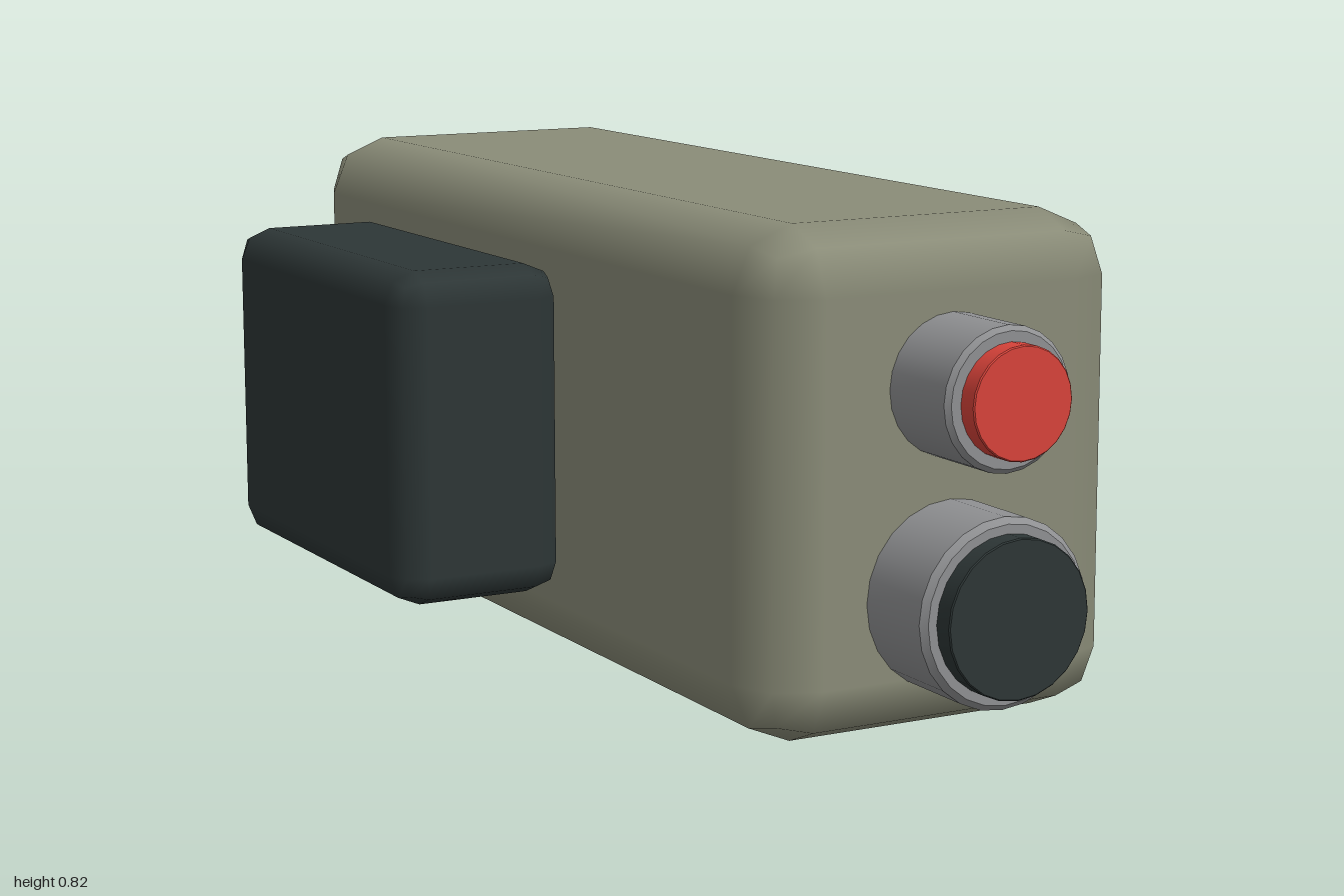
import * as THREE from 'three';
import { RoundedBoxGeometry } from 'three/addons/geometries/RoundedBoxGeometry.js';
import { toCreasedNormals } from 'three/addons/utils/BufferGeometryUtils.js';

function flatColour(name, color) {
  const m = new THREE.MeshStandardMaterial({ color });
  m.name = name;
  return m;
}

export function createModel() {
  const model = new THREE.Group();
  model.name = 'device';
  const casing = flatColour('olive grey casing', 0x8a8c78);
  const dark = flatColour('dark slate', 0x2d3636);
  const metal = flatColour('grey metal', 0x8f9092);
  const red = flatColour('red lens', 0xd8433a);

  const add = (name, geometry, material) => {
    const mesh = new THREE.Mesh(geometry, material);
    mesh.name = name;
    model.add(mesh);
    return mesh;
  };

  // Box with softened edges, given by its extents on each axis
  const softBox = (name, [x0, x1], [y0, y1], [z0, z1], radius, material) => {
    const geo = new RoundedBoxGeometry(x1 - x0, y1 - y0, z1 - z0, 1, radius);
    add(name, geo, material).position.set((x0 + x1) / 2, (y0 + y1) / 2, (z0 + z1) / 2);
  };

  // Turned part along +z: straight side, small chamfer, flat face
  const turned = (name, y, r, z0, z1, chamfer, material) => {
    const profile = [[0, z0], [r, z0], [r, z1 - chamfer], [r - chamfer, z1], [0, z1]]
      .map(([a, b]) => new THREE.Vector2(a, b));
    const geo = toCreasedNormals(new THREE.LatheGeometry(profile, 24), 0.6);
    geo.rotateX(Math.PI / 2);
    add(name, geo, material).position.y = y;
  };

  // Main casing and its side attachments
  softBox('body', [-0.335, 0.335], [0, 0.825], [-1, 0.805], 0.105, casing);
  softBox('sidePack', [-0.645, -0.335], [0.13, 0.7], [-0.64, 0.13], 0.055, dark);
  softBox('sideMount', [0.31, 0.645], [0.34, 0.49], [-0.92, -0.62], 0.02, dark);

  // Two front barrels with lenses
  turned('upperBarrel', 0.57, 0.115, 0.77, 0.965, 0.008, metal);
  turned('upperLens', 0.57, 0.09, 0.94, 1, 0.002, red);
  turned('lowerBarrel', 0.235, 0.153, 0.77, 0.965, 0.01, metal);
  turned('lowerLens', 0.235, 0.128, 0.94, 1, 0.002, dark);

  return model;
}
